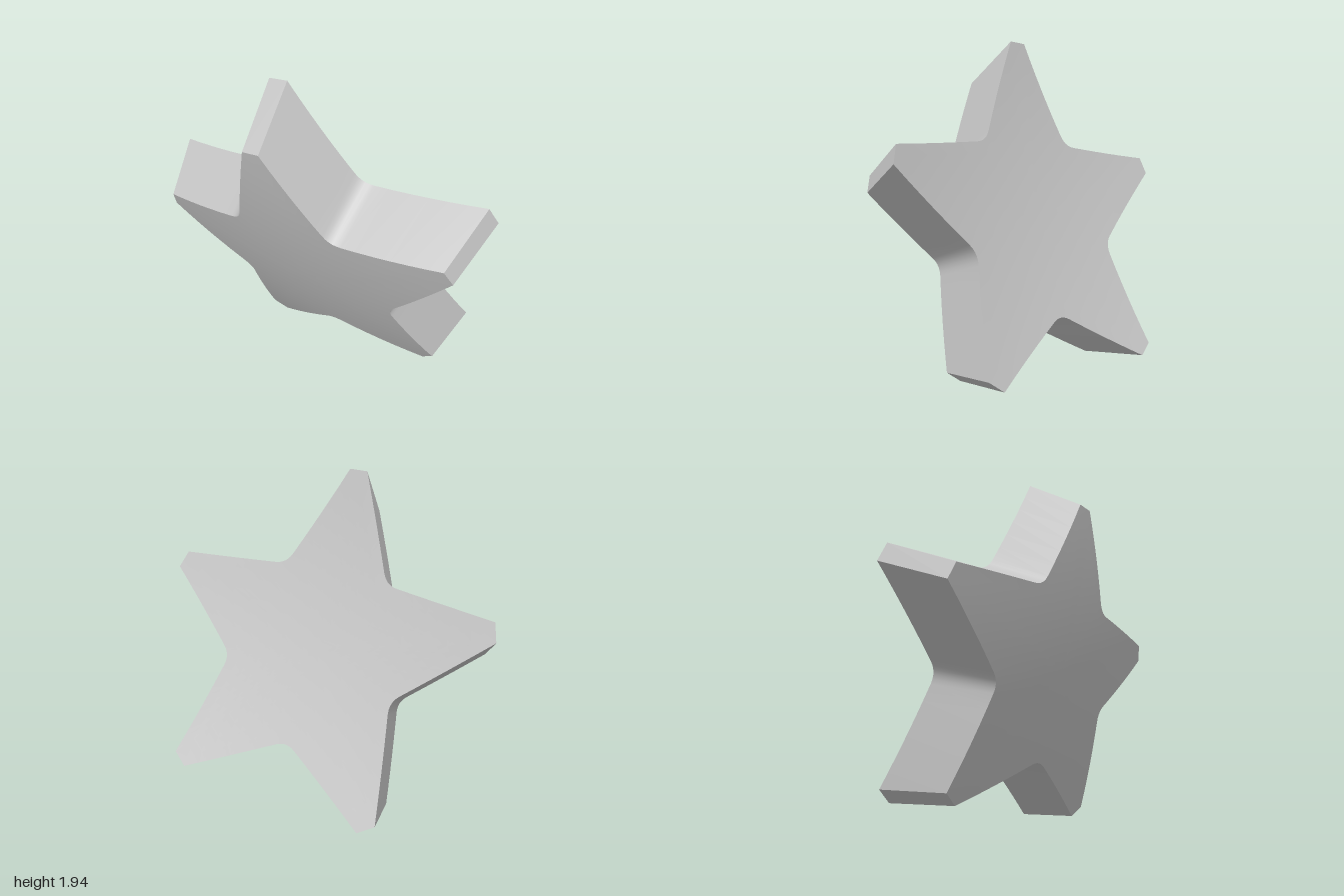
import * as THREE from 'three';
import { toCreasedNormals } from 'three/addons/utils/BufferGeometryUtils.js';

// Frame of the tilted star: u points along the top arm, v sideways, n out of the large face
const U = new THREE.Vector3(-0.384, 0.923, 0.011).normalize();
const N = new THREE.Vector3(0.866, 0.364, -0.341).normalize();
const V = new THREE.Vector3().crossVectors(N, U).normalize();
const FRONT = { centre: new THREE.Vector3(0.105, 0.945, -0.014), scale: 1 };
const BACK = { centre: new THREE.Vector3(-0.216, 0.798, 0.135), scale: 0.897 };
const TIP = 1.064, HALF_TIP = 0.055, NOTCH = 0.562, ROUND = 0.07, DISH = 0.085;

// Flat five-armed outline with blunt tips and softly rounded notches
function starOutline() {
  const arm = [];
  const corner = new THREE.Vector2(TIP, HALF_TIP);
  const notch = new THREE.Vector2(NOTCH * Math.cos(Math.PI / 5), NOTCH * Math.sin(Math.PI / 5));
  const next = new THREE.Vector2(TIP, -HALF_TIP).rotateAround(new THREE.Vector2(), Math.PI * 0.4);
  const toward = (p) => p.clone().sub(notch).setLength(ROUND).add(notch);
  const a = toward(corner), b = toward(next);
  for (let i = 0; i < 6; i++) arm.push(corner.clone().lerp(a, i / 6));
  arm.push(...new THREE.QuadraticBezierCurve(a, notch, b).getPoints(5));
  for (let i = 1; i <= 6; i++) arm.push(b.clone().lerp(next, i / 6));
  const outline = [];
  for (let k = 0; k < 5; k++) {
    for (const p of arm) outline.push(p.clone().rotateAround(new THREE.Vector2(), k * Math.PI * 0.4));
  }
  return outline;
}

// Places a flat point on one of the dished faces
function place(face, p, s) {
  const r2 = p.lengthSq() * s * s;
  return face.centre.clone()
    .addScaledVector(U, p.x * s * face.scale)
    .addScaledVector(V, p.y * s * face.scale)
    .addScaledVector(N, DISH * face.scale * (r2 - TIP * TIP));
}

function starGeometry() {
  const outline = starOutline(), pos = [], rings = 8;
  const tri = (...pts) => pts.forEach((p) => pos.push(p.x, p.y, p.z));
  const quad = (a, b, c, d) => { tri(a, b, c); tri(a, c, d); };
  outline.forEach((p, i) => {
    const q = outline[(i + 1) % outline.length];
    // dished front and back faces, ring by ring
    for (let k = 0; k < rings; k++) {
      const s = k / rings, t = (k + 1) / rings;
      const f = [place(FRONT, p, s), place(FRONT, p, t), place(FRONT, q, t), place(FRONT, q, s)];
      const b = [place(BACK, q, s), place(BACK, q, t), place(BACK, p, t), place(BACK, p, s)];
      if (k === 0) {
        tri(f[0], f[1], f[2]);
        tri(b[0], b[1], b[2]);
      } else {
        quad(...f);
        quad(...b);
      }
    }
    // side wall
    quad(place(BACK, p, 1), place(BACK, q, 1), place(FRONT, q, 1), place(FRONT, p, 1));
  });
  const geometry = new THREE.BufferGeometry();
  geometry.setAttribute('position', new THREE.Float32BufferAttribute(pos, 3));
  return toCreasedNormals(geometry, 0.6);
}

export function createModel() {
  const group = new THREE.Group();
  group.name = 'curvedStar';
  const grey = new THREE.MeshStandardMaterial({ color: 0xc4c4c4 });
  grey.name = 'light grey';
  const star = new THREE.Mesh(starGeometry(), grey);
  star.name = 'starBody';
  group.add(star);
  return group;
}
